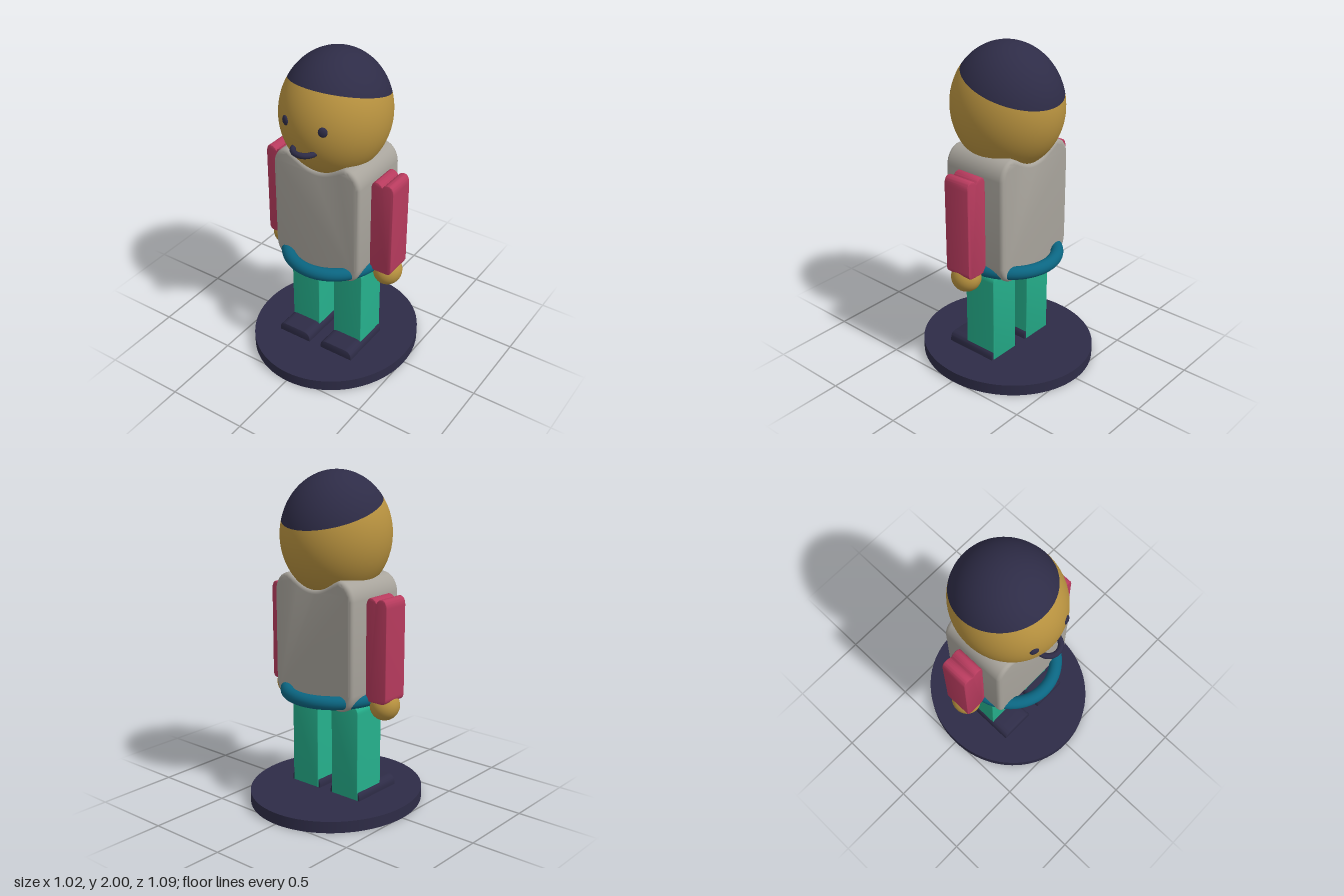
import * as THREE from 'three';
import { toCreasedNormals } from 'three/addons/utils/BufferGeometryUtils.js';

const makeMaterial = (name, color) => {
  const m = new THREE.MeshStandardMaterial({ color });
  m.name = name;
  return m;
};

export function createModel() {
  const group = new THREE.Group();
  const skin = makeMaterial('skin', 0xb8923f);
  const navy = makeMaterial('navy', 0x2e2c47);
  const grey = makeMaterial('shirt grey', 0xa8a49c);
  const red = makeMaterial('sleeve red', 0xb83b5e);
  const green = makeMaterial('trouser green', 0x25b08c);
  const teal = makeMaterial('belt teal', 0x0b6682);

  const add = (name, geometry, material, x = 0, y = 0, z = 0) => {
    const mesh = new THREE.Mesh(geometry, material);
    mesh.name = name;
    mesh.position.set(x, y, z);
    group.add(mesh);
    return mesh;
  };

  // Front profile extruded along z, bevelled inside its own outline
  const slab = (shape, z0, z1, bevel) => {
    const g = new THREE.ExtrudeGeometry(shape, {
      depth: z1 - z0 - 2 * bevel, curveSegments: 10, bevelEnabled: bevel > 0,
      bevelSize: bevel, bevelThickness: bevel, bevelOffset: -bevel, bevelSegments: 4,
    });
    g.translate(0, 0, z0 + bevel);
    return toCreasedNormals(g, 0.6);
  };

  // Upright block with rounded top corners and optionally rounded bottom corners
  const blockShape = (w, y0, y1, top, bottom) => {
    const s = new THREE.Shape();
    s.moveTo(-w + bottom, y0);
    s.lineTo(w - bottom, y0);
    if (bottom) s.quadraticCurveTo(w, y0, w, y0 + bottom);
    s.lineTo(w, y1 - top);
    s.quadraticCurveTo(w, y1, w - top, y1);
    s.lineTo(-w + top, y1);
    s.quadraticCurveTo(-w, y1, -w, y1 - top);
    s.lineTo(-w, y0 + bottom);
    if (bottom) s.quadraticCurveTo(-w, y0, -w + bottom, y0);
    return s;
  };

  // Oval base
  const base = new THREE.CylinderGeometry(1, 1, 0.07, 80);
  base.scale(0.51, 1, 0.545);
  add('base', base, navy, 0, 0.035, 0);

  // Torso with raised shoulders and a hollow for the head
  const t = new THREE.Shape();
  t.moveTo(-0.2, 0.64);
  t.lineTo(0.2, 0.64);
  t.quadraticCurveTo(0.285, 0.65, 0.295, 0.75);
  t.lineTo(0.295, 1.3);
  t.bezierCurveTo(0.29, 1.36, 0.25, 1.41, 0.19, 1.41);
  t.bezierCurveTo(0.12, 1.38, 0.08, 1.335, 0, 1.335);
  t.bezierCurveTo(-0.08, 1.335, -0.12, 1.38, -0.19, 1.41);
  t.bezierCurveTo(-0.25, 1.41, -0.29, 1.36, -0.295, 1.3);
  t.lineTo(-0.295, 0.75);
  t.quadraticCurveTo(-0.285, 0.65, -0.2, 0.64);
  add('torso', slab(t, -0.215, 0.215, 0.025), grey);

  // Belt ring
  const belt = new THREE.TorusGeometry(0.305, 0.04, 20, 80);
  belt.rotateX(Math.PI / 2);
  belt.scale(0.95, 1, 1);
  add('belt', belt, teal, 0, 0.7, 0);

  // Sleeve profile with a small groove along the top
  const a = new THREE.Shape();
  a.moveTo(-0.04, 0.7);
  a.lineTo(0.04, 0.7);
  a.quadraticCurveTo(0.073, 0.7, 0.073, 0.74);
  a.lineTo(0.073, 1.26);
  a.bezierCurveTo(0.073, 1.29, 0.06, 1.312, 0.04, 1.312);
  a.quadraticCurveTo(0.015, 1.312, 0, 1.288);
  a.quadraticCurveTo(-0.015, 1.312, -0.04, 1.312);
  a.bezierCurveTo(-0.06, 1.312, -0.073, 1.29, -0.073, 1.26);
  a.lineTo(-0.073, 0.74);
  a.quadraticCurveTo(-0.073, 0.7, -0.04, 0.7);
  const arm = slab(a, -0.088, 0.088, 0.006);
  const hand = new THREE.SphereGeometry(1, 32, 20);
  hand.scale(0.086, 0.088, 0.092);
  const leg = slab(blockShape(0.1, 0.07, 0.655, 0.05, 0), -0.11, 0.11, 0.004);
  const shoe = slab(blockShape(0.114, 0.065, 0.13, 0.05, 0), -0.105, 0.24, 0.004);
  const eye = new THREE.SphereGeometry(1, 24, 16);
  eye.scale(0.027, 0.03, 0.014);

  // Paired parts
  for (const [side, s] of [['left', 1], ['right', -1]]) {
    add(side + 'Arm', arm, red, s * 0.367, 0, 0);
    add(side + 'Hand', hand, skin, s * 0.369, 0.668, 0);
    add(side + 'Leg', leg, green, s * 0.155, 0, 0);
    add(side + 'Shoe', shoe, navy, s * 0.155, 0, 0);
    add(side + 'Eye', eye, navy, s * 0.122, 1.668, 0.309).rotation.y = s * 0.4;
  }

  // Egg-shaped head, split along a tilted hairline
  const headPart = (start, length) => {
    const g = new THREE.SphereGeometry(1, 64, 32, 0, Math.PI * 2, start, length);
    g.rotateX(-0.268);
    g.scale(0.317, 0.37, 0.34);
    return g;
  };
  const hairline = 1.141;
  add('hair', headPart(0, hairline), navy, 0, 1.63, 0);
  add('head', headPart(hairline, Math.PI - hairline), skin, 0, 1.63, 0);

  // Mouth: half ring standing out from the face, with round ends
  const mouth = new THREE.TorusGeometry(0.068, 0.017, 12, 32, Math.PI);
  mouth.rotateX(Math.PI / 2);
  add('mouth', mouth, navy, 0, 1.52, 0.302);
  for (const s of [1, -1]) add('mouthCorner', new THREE.SphereGeometry(0.017, 16, 12), navy, s * 0.068, 1.52, 0.304);

  return group;
}
